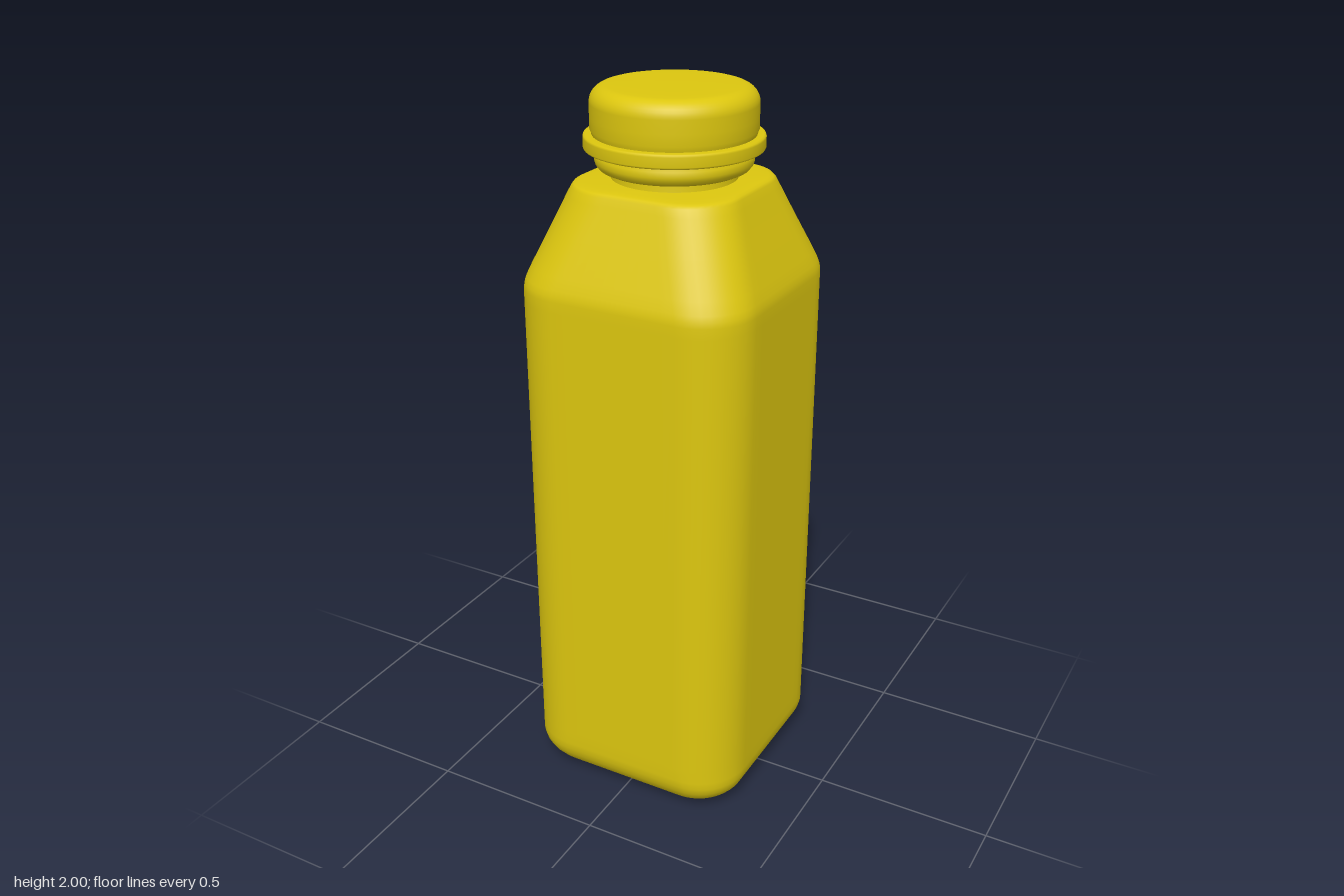
import * as THREE from 'three';

const yellow = new THREE.MeshStandardMaterial({ color: 0xdcc60f });
yellow.name = 'yellow plastic';

// Rounded square outline in the x-z plane, with extra points along each side
function roundedSquare(half, radius) {
  const points = [];
  const c = half - radius, ARC = 10, SIDE = 10;
  for (let q = 0; q < 4; q++) {
    const turn = q * Math.PI / 2, cos = Math.cos(turn), sin = Math.sin(turn);
    const add = (x, z) => points.push([x * cos - z * sin, x * sin + z * cos]);
    for (let i = 0; i < SIDE; i++) add(half, -c + 2 * c * i / SIDE);
    for (let i = 0; i < ARC; i++) {
      const a = i / ARC * Math.PI / 2;
      add(c + radius * Math.cos(a), c + radius * Math.sin(a));
    }
  }
  return points;
}

// Skin a stack of sections [y, half width, corner radius], bottom to top
function loft(sections, lift = () => 0) {
  const positions = [], index = [];
  let n = 0;
  sections.forEach(([y, half, radius], row) => {
    const ring = roundedSquare(half, radius);
    n = ring.length;
    for (const [x, z] of ring) positions.push(x, y + lift(x, z, row), z);
  });
  for (let r = 0; r < sections.length - 1; r++) {
    for (let i = 0; i < n; i++) {
      const a = r * n + i, b = r * n + (i + 1) % n;
      index.push(a, a + n, b, b, a + n, b + n);
    }
  }
  const geometry = new THREE.BufferGeometry();
  geometry.setAttribute('position', new THREE.Float32BufferAttribute(positions, 3));
  geometry.setIndex(index);
  geometry.computeVertexNormals();
  return geometry;
}

function addLathe(group, name, profile) {
  const points = profile.map(([r, y]) => new THREE.Vector2(r, y));
  const mesh = new THREE.Mesh(new THREE.LatheGeometry(points, 64), yellow);
  mesh.name = name;
  group.add(mesh);
}

export function createModel() {
  const group = new THREE.Group();
  group.name = 'bottle';

  // Underside: shallow dish crossed by two grooves
  const sections = [];
  const BASE = 12;
  for (let i = 0; i <= BASE; i++) {
    const half = 0.001 + 0.219 * i / BASE;
    sections.push([0.02 * (1 - (i / BASE) ** 4), half, half * 0.4]);
  }
  // Rounded lower edge
  for (let i = 1; i <= 8; i++) {
    const a = i / 8 * Math.PI / 2;
    sections.push([0.11 * (1 - Math.cos(a)), 0.22 + 0.11 * Math.sin(a), 0.088 + 0.062 * i / 8]);
  }
  // Straight walls, tapering shoulder and the rim into the neck
  sections.push(
    [0.15, 0.33, 0.15], [0.8, 0.33, 0.15], [1.46, 0.33, 0.15], [1.49, 0.33, 0.15],
    [1.505, 0.328, 0.15], [1.52, 0.324, 0.15], [1.55, 0.313, 0.15], [1.64, 0.276, 0.145],
    [1.73, 0.24, 0.14], [1.75, 0.232, 0.14], [1.757, 0.227, 0.14], [1.76, 0.218, 0.14],
    [1.762, 0.2, 0.15], [1.764, 0.165, 0.165]
  );
  const groove = (x, z, row) => {
    if (row >= BASE) return 0;
    const fade = 1 - (row / BASE) ** 3;
    return 0.018 * fade * Math.exp(-((Math.min(Math.abs(x), Math.abs(z)) / 0.025) ** 2));
  };
  const body = new THREE.Mesh(loft(sections, groove), yellow);
  body.name = 'body';
  group.add(body);

  addLathe(group, 'neck', [[0.172, 1.755], [0.165, 1.765], [0.165, 1.83]]);

  // Tamper band below the cap
  addLathe(group, 'tamperBand', [
    [0.16, 1.784], [0.185, 1.785], [0.196, 1.79], [0.204, 1.8], [0.207, 1.81],
    [0.207, 1.825], [0.2, 1.832], [0.2, 1.85]
  ]);

  // Flange ring around the cap
  addLathe(group, 'capFlange', [
    [0.19, 1.838], [0.228, 1.838], [0.233, 1.84], [0.235, 1.844], [0.235, 1.869],
    [0.233, 1.874], [0.228, 1.876], [0.2, 1.876]
  ]);

  // Screw cap with a rounded top edge
  const cap = [[0.205, 1.84], [0.213, 1.88], [0.217, 1.89], [0.217, 1.92], [0.217, 1.955]];
  for (let i = 1; i <= 8; i++) {
    const a = i / 8 * Math.PI / 2;
    cap.push([0.172 + 0.045 * Math.cos(a), 1.955 + 0.043 * Math.sin(a)]);
  }
  cap.push([0.15, 1.999], [0.1, 2], [0, 2]);
  addLathe(group, 'cap', cap);

  return group;
}
